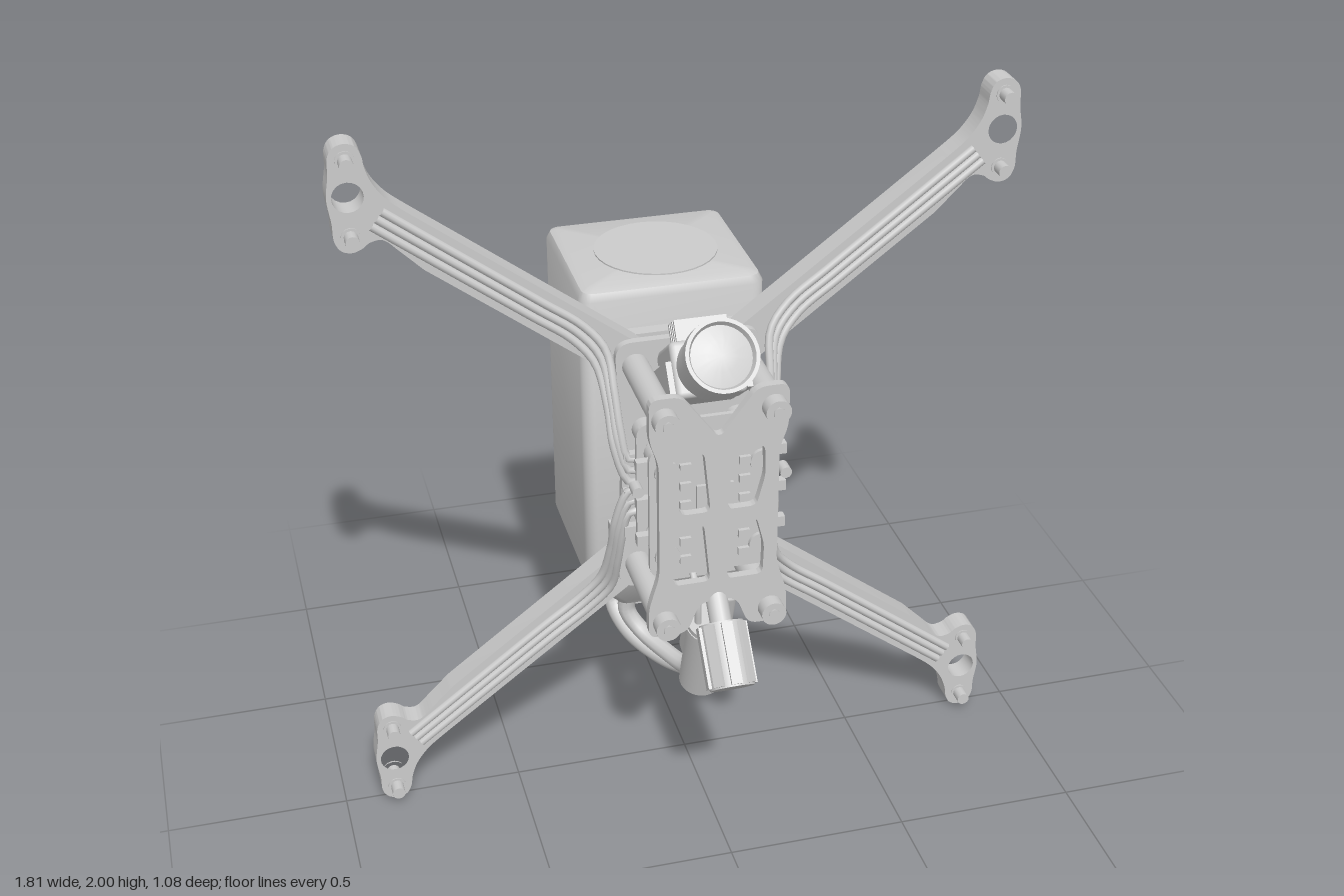
import * as THREE from 'three';
import { toCreasedNormals } from 'three/addons/utils/BufferGeometryUtils.js';
import { RoundedBoxGeometry } from 'three/addons/geometries/RoundedBoxGeometry.js';

const grey = new THREE.MeshStandardMaterial({ color: 0xcccccc });
const V = (x, y, z) => new THREE.Vector3(x, y, z);
const V2 = (x, y) => new THREE.Vector2(x, y);

function add(parent, name, geo, pos = [0, 0, 0], rx = 0) {
  const m = new THREE.Mesh(geo, grey);
  m.name = name;
  m.position.set(...pos);
  m.rotation.x = rx;
  parent.add(m);
  return m;
}
function group(parent, name, pos = [0, 0, 0], rx = 0) {
  const g = new THREE.Group();
  g.name = name;
  g.position.set(...pos);
  g.rotation.x = rx;
  parent.add(g);
  return g;
}
const box = (p, name, size, pos, rx) => add(p, name, new THREE.BoxGeometry(...size), pos, rx);
// cylinder lying along z between two depths
function rod(p, name, r, x, y, z0, z1, sides = 20) {
  return add(p, name, new THREE.CylinderGeometry(r, r, z1 - z0, sides), [x, y, (z0 + z1) / 2], Math.PI / 2);
}
const tube = (p, name, pts, r, seg = 40) =>
  add(p, name, new THREE.TubeGeometry(new THREE.CatmullRomCurve3(pts), seg, r, 10));
// plate cut from a shape, lying between two depths
function plate(p, name, shape, z0, z1) {
  const geo = new THREE.ExtrudeGeometry(shape, { depth: z1 - z0, bevelEnabled: false, curveSegments: 10 });
  return add(p, name, toCreasedNormals(geo, 0.6), [0, 0, z0]);
}
function circle(x, y, r) {
  return new THREE.Path().absarc(x, y, r, 0, Math.PI * 2, true);
}
// polygon path with rounded corners
function rounded(path, pts, r) {
  pts.forEach((p, i) => {
    const a = pts[(i + pts.length - 1) % pts.length], b = pts[(i + 1) % pts.length];
    const s = p.clone().add(a.clone().sub(p).setLength(r));
    const e = p.clone().add(b.clone().sub(p).setLength(r));
    if (i === 0) path.moveTo(s.x, s.y); else path.lineTo(s.x, s.y);
    path.quadraticCurveTo(p.x, p.y, e.x, e.y);
  });
  path.closePath();
  return path;
}

// one arm with motor mount, screws and three motor wires
function buildArm(parent, sx, sy) {
  const g = group(parent, 'arm');
  const P = (x, y) => V2(sx * x, sy > 0 ? y : 2 - y);
  const s = new THREE.Shape();
  const start = P(0, 1.266);
  s.moveTo(start.x, start.y);
  s.lineTo(...P(0.70, 1.795).toArray());
  s.splineThru([[0.755, 1.84], [0.79, 1.885], [0.808, 1.93], [0.814, 1.965], [0.828, 1.991], [0.855, 2.0],
    [0.882, 1.991], [0.897, 1.965], [0.899, 1.92], [0.907, 1.86], [0.899, 1.795], [0.897, 1.75],
    [0.882, 1.721], [0.855, 1.712], [0.828, 1.721], [0.808, 1.735], [0.775, 1.737], [0.735, 1.70],
    [0.68, 1.645]].map(a => P(...a)));
  s.lineTo(...P(0.134, 1.23).toArray());
  s.lineTo(...P(0, 1.23).toArray());
  s.closePath();
  const hub = P(0.855, 1.86);
  s.holes.push(circle(hub.x, hub.y, 0.04));
  plate(g, 'armPlate', s, -0.045, 0.02);
  for (const y of [1.957, 1.755]) {
    const c = P(0.855, y);
    rod(g, 'motorScrew', 0.018, c.x, c.y, -0.05, 0.06, 14);
    rod(g, 'screwCollar', 0.025, c.x, c.y, 0.015, 0.023, 14);
    add(g, 'screwHead', new THREE.SphereGeometry(0.034, 18, 6, 0, Math.PI * 2, 0, Math.PI / 2),
      [c.x, c.y, -0.044], -Math.PI / 2).scale.y = 0.65;
  }
  for (const o of [-0.023, 0, 0.023]) {
    const W = (x, y, z) => { const p = P(x, y); return V(p.x, p.y, z); };
    const nx = -0.605 * o, ny = 0.796 * o;
    tube(g, 'motorWire', [W(0.79 + nx, 1.798 + ny, 0.022), W(0.6 + nx, 1.653 + ny, 0.022),
      W(0.4 + nx, 1.501 + ny, 0.022), W(0.29 + nx, 1.417 + ny, 0.026), W(0.238 + nx, 1.35 + ny, 0.045),
      W(0.222 - o * 0.4, 1.24 + o, 0.085), W(0.215 - o * 0.4, 1.14 + o, 0.115),
      W(0.19, 1.05 + o * 1.5, 0.13), W(0.165, 1.045 + o * 1.5, 0.13)], 0.0115);
  }
}

// closed body lofted through rounded rectangles, listed from top to bottom
function loftBody(levels) {
  const pos = [], idx = [], N = 28;
  for (const [y, hx, hz, cz, r] of levels)
    for (let j = 0; j < N; j++) {
      const q = Math.floor(j / 7), t = (q + (j % 7) / 6) * Math.PI / 2;
      const kx = q === 0 || q === 3 ? 1 : -1, kz = q < 2 ? 1 : -1;
      pos.push(-0.008 + kx * (hx - r) + r * Math.cos(t), y, cz + kz * (hz - r) + r * Math.sin(t));
    }
  for (let i = 0; i < levels.length - 1; i++)
    for (let j = 0; j < N; j++) {
      const a = i * N + j, b = i * N + (j + 1) % N;
      idx.push(a, b, a + N, b, b + N, a + N);
    }
  const geo = new THREE.BufferGeometry();
  geo.setAttribute('position', new THREE.Float32BufferAttribute(pos, 3));
  geo.setIndex(idx);
  return toCreasedNormals(geo, 0.6);
}

function buildBattery(root) {
  const g = group(root, 'battery');
  add(g, 'batteryBody', loftBody([
    [1.476, 0, 0, -0.31, 0], [1.476, 0.225, 0.203, -0.31, 0.02], [1.468, 0.244, 0.222, -0.31, 0.03],
    [1.447, 0.254, 0.232, -0.31, 0.035], [0.575, 0.254, 0.232, -0.31, 0.035], [0.535, 0.242, 0.222, -0.31, 0.04],
    [0.405, 0.145, 0.09, -0.285, 0.03], [0.39, 0.135, 0.08, -0.285, 0.03], [0.39, 0, 0, -0.285, 0]]));
  add(g, 'topDisc', new THREE.CylinderGeometry(0.17, 0.17, 0.006, 32), [0, 1.477, -0.305]);
  // ribbed lead exit
  for (let i = 0; i < 6; i++) box(g, 'leadRib', [0.22, 0.045, 0.008], [-0.01, 0.375, -0.255 - i * 0.014]);
  tube(g, 'powerLead', [V(-0.11, 0.41, -0.345), V(-0.13, 0.32, -0.345), V(-0.1, 0.25, -0.27),
    V(-0.02, 0.205, -0.17), V(0.05, 0.22, -0.07), V(0.072, 0.29, 0.01), V(0.07, 0.4, 0.05)], 0.026);
  tube(g, 'powerLead', [V(-0.1, 0.41, -0.245), V(-0.11, 0.34, -0.25), V(-0.075, 0.28, -0.22),
    V(-0.02, 0.25, -0.13), V(0.02, 0.26, -0.03), V(0.03, 0.32, 0.02), V(0.03, 0.4, 0.06)], 0.026);
  tube(g, 'balanceLead', [V(0.08, 0.39, -0.28), V(0.13, 0.36, -0.26), V(0.18, 0.385, -0.2), V(0.2, 0.45, -0.09)], 0.007);
  for (const y of [1.3, 0.71]) box(g, 'mountPad', [0.4, 0.12, 0.045], [0, y, -0.062]);
}

function buildFrame(root) {
  const g = group(root, 'frame');
  // rear plate
  const base = rounded(new THREE.Shape(), [[0.2, 1.38], [-0.2, 1.38], [-0.185, 1.0], [-0.2, 0.62],
    [0.2, 0.62], [0.185, 1.0]].map(a => V2(...a)), 0.05);
  plate(g, 'basePlate', base, 0.018, 0.042);
  // front plate with four windows and a notch for the camera
  const front = rounded(new THREE.Shape(), [[0.185, 1.37], [0.1, 1.37], [0, 1.235], [-0.1, 1.37], [-0.185, 1.37],
    [-0.185, 1.25], [-0.16, 1.18], [-0.16, 0.84], [-0.19, 0.74], [-0.19, 0.65], [-0.085, 0.65], [-0.05, 0.74],
    [0.05, 0.74], [0.085, 0.65], [0.19, 0.65], [0.19, 0.74], [0.16, 0.84], [0.16, 1.18], [0.185, 1.25]]
    .map(a => V2(...a)), 0.028);
  for (const s of [-1, 1])
    for (const [y0, y1, a, b] of [[1.02, 1.2, 0.125, 0.1], [0.805, 0.985, 0.1, 0.125]])
      front.holes.push(rounded(new THREE.Path(), [[0.022, y0], [0.022 + b * 0.8, y0], [0.125, (y0 + y1) / 2],
        [0.022 + a * 0.8, y1], [0.04, y1]].map(p => V2(s * p[0], p[1])), 0.02));
  plate(g, 'frontPlate', front, 0.318, 0.342);
  // standoffs and stack posts
  for (const s of [-1, 1]) {
    for (const y of [1.31, 0.695]) {
      rod(g, 'standoff', 0.036, s * 0.145, y, 0.04, 0.32);
      rod(g, 'standoffScrew', 0.034, s * 0.145, y, 0.34, 0.382);
      rod(g, 'screwSocket', 0.016, s * 0.145, y, 0.38, 0.386, 6);
      rod(g, 'rearScrew', 0.03, s * 0.145, y, -0.065, 0.02);
    }
    for (const y of [1.13, 0.875]) {
      rod(g, 'stackPost', 0.022, s * 0.128, y, -0.015, 0.31);
      rod(g, 'stackNut', 0.033, s * 0.128, y, -0.012, 0.018, 6);
      for (const z of [0.06, 0.19, 0.255]) rod(g, 'rubberGrommet', 0.034, s * 0.128, y, z, z + 0.055);
    }
  }
}

function buildElectronics(root) {
  const g = group(root, 'electronics');
  for (const z of [0.15, 0.285]) {
    const b = rounded(new THREE.Shape(), [[0.175, 1.2], [-0.175, 1.2], [-0.175, 0.81], [0.175, 0.81]]
      .map(a => V2(...a)), 0.04);
    plate(g, 'circuitBoard', b, z, z + 0.014);
  }
  box(g, 'processor', [0.1, 0.1, 0.012], [0, 1.03, 0.303]);
  box(g, 'largeChip', [0.11, 0.1, 0.06], [0, 1.03, 0.19]);
  for (const s of [-1, 1])
    for (let i = 0; i < 6; i++) {
      const y = 0.86 + i * 0.056;
      box(g, 'powerChip', [0.035, 0.035, 0.018], [s * 0.085, y, 0.17]);
      box(g, 'smallChip', [0.03, 0.022, 0.014], [s * 0.08, y, 0.303]);
      box(g, 'edgeConnector', [0.045, 0.03, 0.025], [s * 0.18, y, i % 2 ? 0.265 : 0.125]);
    }
  for (const s of [-1, 1]) rod(g, 'sidePin', 0.016, s * 0.2, 1.07, 0.245, 0.285, 12);
  // capacitor and power plug hanging below the plates
  const cap = group(g, 'capacitor', [0, 0.49, 0.215], -0.34);
  cap.rotation.x = 0.34;
  add(cap, 'can', new THREE.CylinderGeometry(0.06, 0.06, 0.27, 28));
  add(cap, 'canRim', new THREE.CylinderGeometry(0.063, 0.063, 0.02, 28), [0, 0.11, 0]);
  for (const s of [-1, 1])
    tube(g, 'capacitorLeg', [V(s * 0.03, 0.6, 0.255), V(s * 0.035, 0.7, 0.26), V(s * 0.04, 0.83, 0.17)], 0.01, 14);
  const plug = group(g, 'powerPlug', [0.035, 0.5, 0.095], 0.34);
  add(plug, 'plugSocket', new RoundedBoxGeometry(0.13, 0.16, 0.095, 2, 0.012), [0, 0.075, 0]);
  add(plug, 'plugBody', new RoundedBoxGeometry(0.115, 0.14, 0.075, 2, 0.012), [0, -0.07, 0]);
  // stub antenna: ribbed barrel pointing down and forward
  const ant = group(g, 'antenna', [0, 0.62, 0.43], -0.72);
  add(ant, 'antennaBarrel', new THREE.CylinderGeometry(0.06, 0.06, 0.175, 24));
  for (let i = 0; i < 8; i++) {
    const a = i * Math.PI / 4;
    box(ant, 'antennaRib', [0.03, 0.165, 0.02], [Math.sin(a) * 0.057, 0, Math.cos(a) * 0.057]).rotation.y = a;
  }
  add(ant, 'antennaStem', new THREE.CylinderGeometry(0.03, 0.03, 0.1, 16), [0, 0.12, 0]);
}

function buildCamera(root) {
  const g = group(root, 'camera', [0, 1.485, 0.365], -0.64);
  const profile = [[0, -0.17], [0.085, -0.17], [0.085, -0.05], [0.096, -0.042], [0.096, 0], [0.086, 0],
    [0.08, -0.015], [0.04, -0.005], [0, -0.001]].map(a => V2(...a));
  add(g, 'lens', toCreasedNormals(new THREE.LatheGeometry(profile, 36), 0.5), [0, 0, 0], Math.PI / 2);
  add(g, 'cameraBody', new RoundedBoxGeometry(0.19, 0.15, 0.16, 2, 0.015), [0, 0, -0.235]);
  box(g, 'mountPlate', [0.17, 0.02, 0.17], [0, 0.055, -0.275]);
  box(g, 'heatSink', [0.12, 0.05, 0.07], [0, 0.09, -0.205]);
  for (let i = 0; i < 4; i++) box(g, 'coolingFin', [0.14, 0.06, 0.01], [0, 0.1, -0.175 - i * 0.02]);
  for (const s of [-1, 1]) box(g, 'cameraBracket', [0.015, 0.09, 0.17], [s * 0.102, -0.02, -0.25]);
}

export function createModel() {
  const root = new THREE.Group();
  root.name = 'racingDrone';
  for (const sx of [-1, 1]) for (const sy of [-1, 1]) buildArm(root, sx, sy);
  buildBattery(root);
  buildFrame(root);
  buildElectronics(root);
  buildCamera(root);
  return root;
}
